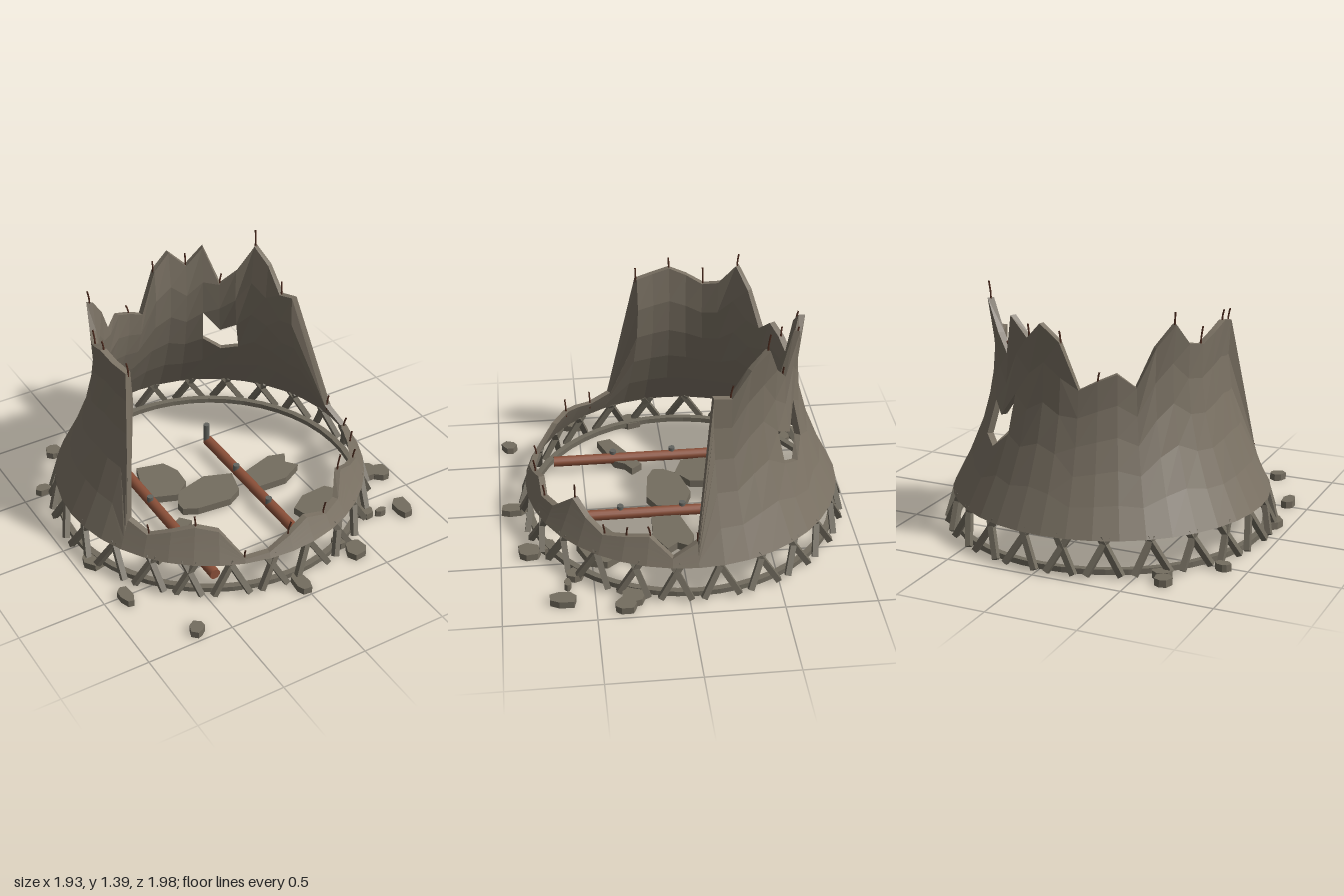
import * as THREE from 'three';

const mat = (name, color) => {
  const m = new THREE.MeshStandardMaterial({ color });
  m.name = name;
  return m;
};

export function createModel() {
  const concrete = mat('weathered concrete', 0x7a7163);
  const strutMat = mat('strut concrete', 0x716b5e);
  const rubbleMat = mat('rubble concrete', 0x746d5f);
  const rust = mat('rusty pipe', 0x8a4f38);
  const rebarMat = mat('rebar', 0x4f2d20);
  const steel = mat('grey steel', 0x62645f);

  const group = new THREE.Group();
  const tower = new THREE.Group();
  tower.name = 'ruinedTower';
  tower.position.set(-0.02, 0, -0.05);
  group.add(tower);

  let seed = 7;
  const rand = () => {
    seed = (seed * 16807) % 2147483647;
    return seed / 2147483647;
  };
  const add = (parent, name, geo, material) => {
    const m = new THREE.Mesh(geo, material);
    m.name = name;
    parent.add(m);
    return m;
  };
  const flat = (geo) => {
    const g = geo.index ? geo.toNonIndexed() : geo;
    g.computeVertexNormals();
    return g;
  };
  // Angle 0 faces the front and grows towards +x
  const polar = (deg, r, y) => {
    const a = THREE.MathUtils.degToRad(deg);
    return new THREE.Vector3(Math.sin(a) * r, y, Math.cos(a) * r);
  };

  // Broken shell: hyperbolic profile, one rim height every 9 degrees
  const base = 0.2, rows = 5, step = 9, thick = 0.035;
  const rim = [
    0.28, 0.325, 0.285, 0.3, 0.4, 0.345, 0.3, 0.32, 0.34, 0.245,
    0.32, 1.08, 1.06, 1.21, 1.3, 1.13, 1.04, 1.27, 1.165, 1.26,
    1.17, 0.92, 0.97, 1.01, 0.935, 1.14, 1.26, 1.14, 1.12, 1.17,
    1.21, 1.185, 1.165, 0.35, 0.31, 0.35, 0.385, 0.365, 0.22, 0.23];
  const n = rim.length;
  const radius = (y) => 0.64 * Math.sqrt(1 + ((y - 1) / 0.82) ** 2);
  const shellPoint = (i, j, inset) => {
    const y = base + (rim[(i + n) % n] - base) * j / rows;
    return polar(i * step, radius(y) - inset, y);
  };
  const solid = (i, j) => j >= 0 && j < rows && !(j === 2 && (i === 15 || i === 16));
  const pos = [];
  const quad = (a, b, c, d) => [a, b, c, a, c, d].forEach((p) => pos.push(p.x, p.y, p.z));
  for (let i = 0; i < n; i++) {
    for (let j = 0; j < rows; j++) {
      if (!solid(i, j)) continue;
      const corners = [[i, j], [i + 1, j], [i + 1, j + 1], [i, j + 1]];
      const out = corners.map(([a, b]) => shellPoint(a, b, 0));
      const inn = corners.map(([a, b]) => shellPoint(a, b, thick));
      quad(...out);
      quad(inn[3], inn[2], inn[1], inn[0]);
      // Close the wall wherever the neighbouring panel is missing
      const next = [[i, j - 1], [i + 1, j], [i, j + 1], [i - 1, j]];
      next.forEach(([a, b], k) => {
        const l = (k + 1) % 4;
        if (!solid((a + n) % n, b)) quad(out[l], out[k], inn[k], inn[l]);
      });
    }
  }
  const shell = new THREE.BufferGeometry();
  shell.setAttribute('position', new THREE.Float32BufferAttribute(pos, 3));
  add(tower, 'brokenShell', flat(shell), concrete);

  // Foundation ring
  const ring = [[0.86, 0.015], [0.895, 0.015], [0.895, 0.045], [0.86, 0.045], [0.86, 0.015]];
  add(tower, 'foundationRing',
    flat(new THREE.LatheGeometry(ring.map(([x, y]) => new THREE.Vector2(x, y)), 48)), strutMat);

  // Bar between two points
  const bar = (parent, name, a, b, geo, material) => {
    const m = add(parent, name, geo, material);
    m.position.copy(a).add(b).multiplyScalar(0.5);
    m.quaternion.setFromUnitVectors(new THREE.Vector3(0, 1, 0), b.clone().sub(a).normalize());
    return m;
  };

  // Diagonal struts in opposed pairs
  const struts = new THREE.Group();
  struts.name = 'diagonalStruts';
  tower.add(struts);
  const nodes = 24;
  for (let i = 0; i < nodes; i++) {
    const mid = i * 360 / nodes + (rand() - 0.5) * 3;
    for (const s of [-1, 1]) {
      const a = polar(mid + s * 2, 0.925, 0.02);
      const b = polar(mid + s * 9, 0.865, 0.212);
      bar(struts, 'strut', a, b, new THREE.BoxGeometry(0.032, a.distanceTo(b), 0.032), strutMat);
    }
  }

  // Bent reinforcement rods sticking out of the rim
  const rods = new THREE.Group();
  rods.name = 'rebar';
  tower.add(rods);
  for (const i of [0, 2, 4, 6, 7, 8, 10, 12, 14, 16, 18, 20, 22, 26, 28, 30, 32, 34, 36, 38]) {
    const y = rim[i];
    const r = radius(y) - thick / 2;
    const pts = [polar(i * step, r, y - 0.04), polar(i * step, r, y + 0.02),
      polar(i * step + (rand() - 0.5) * 2, r + 0.01, y + 0.05 + rand() * 0.05)];
    add(rods, 'rod', new THREE.TubeGeometry(new THREE.CatmullRomCurve3(pts), 4, 0.005, 5), rebarMat);
  }

  // Fallen pipes with nozzles
  for (const x of [-0.41, 0.165]) {
    const pipe = add(group, 'pipe', new THREE.CylinderGeometry(0.031, 0.031, 1.06, 14), rust);
    pipe.rotation.x = Math.PI / 2;
    pipe.position.set(x, 0.075, 0.14);
    [[-0.385, 0.2], [-0.04, 0.125], [0.315, 0.125]].forEach(([z, top]) => {
      const h = top - 0.07;
      add(group, 'nozzle', new THREE.CylinderGeometry(0.019, 0.019, h, 10), steel)
        .position.set(x - 0.01, 0.07 + h / 2, z);
    });
  }

  // Flat broken slabs, outlines as [x, z]
  const slab = (name, outline, y, h) => {
    const shape = new THREE.Shape(outline.map(([x, z]) => new THREE.Vector2(x, -z)));
    const geo = new THREE.ExtrudeGeometry(shape, { depth: h, bevelEnabled: false });
    geo.rotateX(-Math.PI / 2);
    geo.translate(0, y, 0);
    add(group, name, flat(geo), rubbleMat);
  };
  [
    [[-0.33, -0.38], [-0.17, -0.34], [-0.13, -0.24], [-0.14, -0.12], [-0.24, -0.04], [-0.37, -0.09], [-0.38, -0.23]],
    [[-0.28, 0.03], [-0.22, -0.06], [-0.03, -0.11], [0.13, -0.05], [0.09, 0.1], [0.0, 0.15], [-0.2, 0.13], [-0.28, 0.09]],
    [[0.2, -0.02], [0.4, -0.08], [0.5, -0.05], [0.46, 0.02], [0.51, 0.08], [0.38, 0.15], [0.2, 0.14]],
    [[0.27, 0.41], [0.37, 0.34], [0.53, 0.33], [0.6, 0.42], [0.57, 0.52], [0.42, 0.58], [0.3, 0.52]],
    [[-0.63, 0.32], [-0.46, 0.22], [-0.34, 0.15], [-0.29, 0.21], [-0.35, 0.25], [-0.38, 0.31], [-0.61, 0.4]],
  ].forEach((o, i) => slab('fallenSlab', o, 0.018 + i * 0.002, 0.045));

  // Scattered rubble: x, z, half width, half depth
  [
    [-0.66, -0.83, 0.05, 0.05], [-0.62, -0.75, 0.06, 0.05], [-0.87, -0.53, 0.045, 0.035],
    [-0.88, 0.53, 0.04, 0.07], [-0.9, 0.17, 0.06, 0.07], [-0.68, 0.935, 0.045, 0.045],
    [-0.015, 0.92, 0.045, 0.08], [0.4, 0.84, 0.06, 0.07], [0.36, 0.74, 0.05, 0.05],
    [0.71, 0.645, 0.035, 0.02], [0.84, 0.67, 0.055, 0.08], [0.63, 0.6, 0.05, 0.05],
    [0.85, 0.3, 0.07, 0.07], [0.92, 0.35, 0.06, 0.06],
  ].forEach(([x, z, w, d]) => {
    const outline = [];
    for (let k = 0; k < 7; k++) {
      const a = k / 7 * Math.PI * 2 + rand() * 0.4;
      const s = 0.85 + rand() * 0.25;
      outline.push([x + Math.cos(a) * w * s, z + Math.sin(a) * d * s]);
    }
    slab('rubble', outline, 0, 0.04);
  });

  return group;
}
